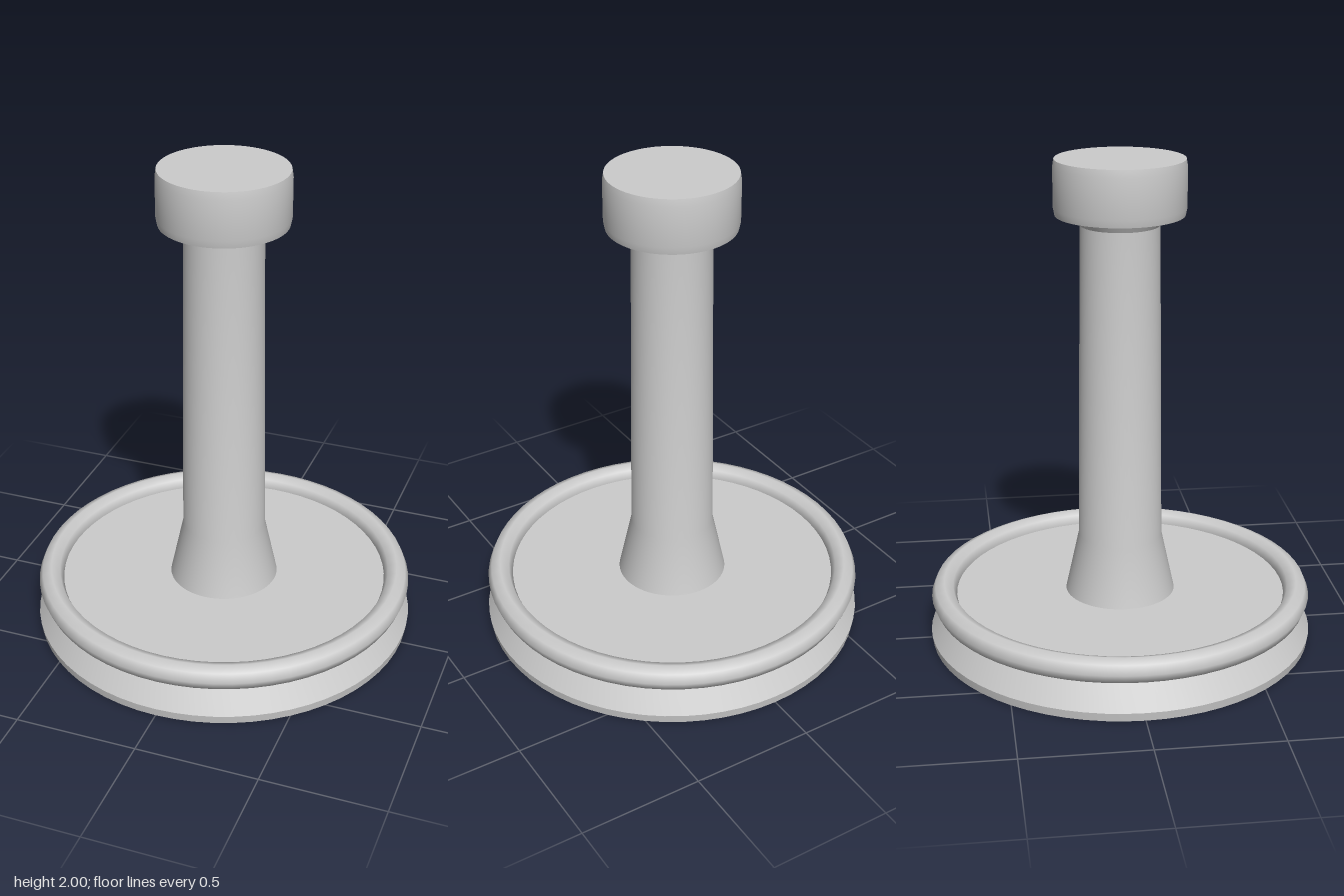
import * as THREE from 'three';
import { toCreasedNormals } from 'three/addons/utils/BufferGeometryUtils.js';

export function createModel() {
  const model = new THREE.Group();
  const paleGrey = new THREE.MeshStandardMaterial({ color: 0xcccccc });
  paleGrey.name = 'paleGrey';

  const add = (name, geometry) => {
    const mesh = new THREE.Mesh(geometry, paleGrey);
    mesh.name = name;
    model.add(mesh);
    return mesh;
  };

  // Turned part from [radius, height] pairs, listed bottom to top
  const turned = (name, profile) => {
    const points = profile.map(([r, y]) => new THREE.Vector2(r, y));
    return add(name, toCreasedNormals(new THREE.LatheGeometry(points, 64), 0.5));
  };

  // Round foot with a sloping side and a flat top
  turned('base', [[0, 0], [0.79, 0], [0.795, 0.035], [0.705, 0.19], [0, 0.19]]);

  // Raised ring around the edge of the base
  const rim = add('rim', new THREE.TorusGeometry(0.736, 0.052, 8, 64));
  rim.rotation.x = Math.PI / 2;
  rim.position.y = 0.19;

  // Slightly tapered post, flared at the foot and under the cap
  turned('post', [[0.226, 0.19], [0.172, 0.44], [0.158, 1.74], [0.18, 1.78]]);

  // Drum-shaped cap with softly eased edges
  turned('cap', [[0, 1.78], [0.256, 1.78], [0.262, 1.81], [0.262, 1.97], [0.257, 2], [0, 2]]);

  return model;
}
